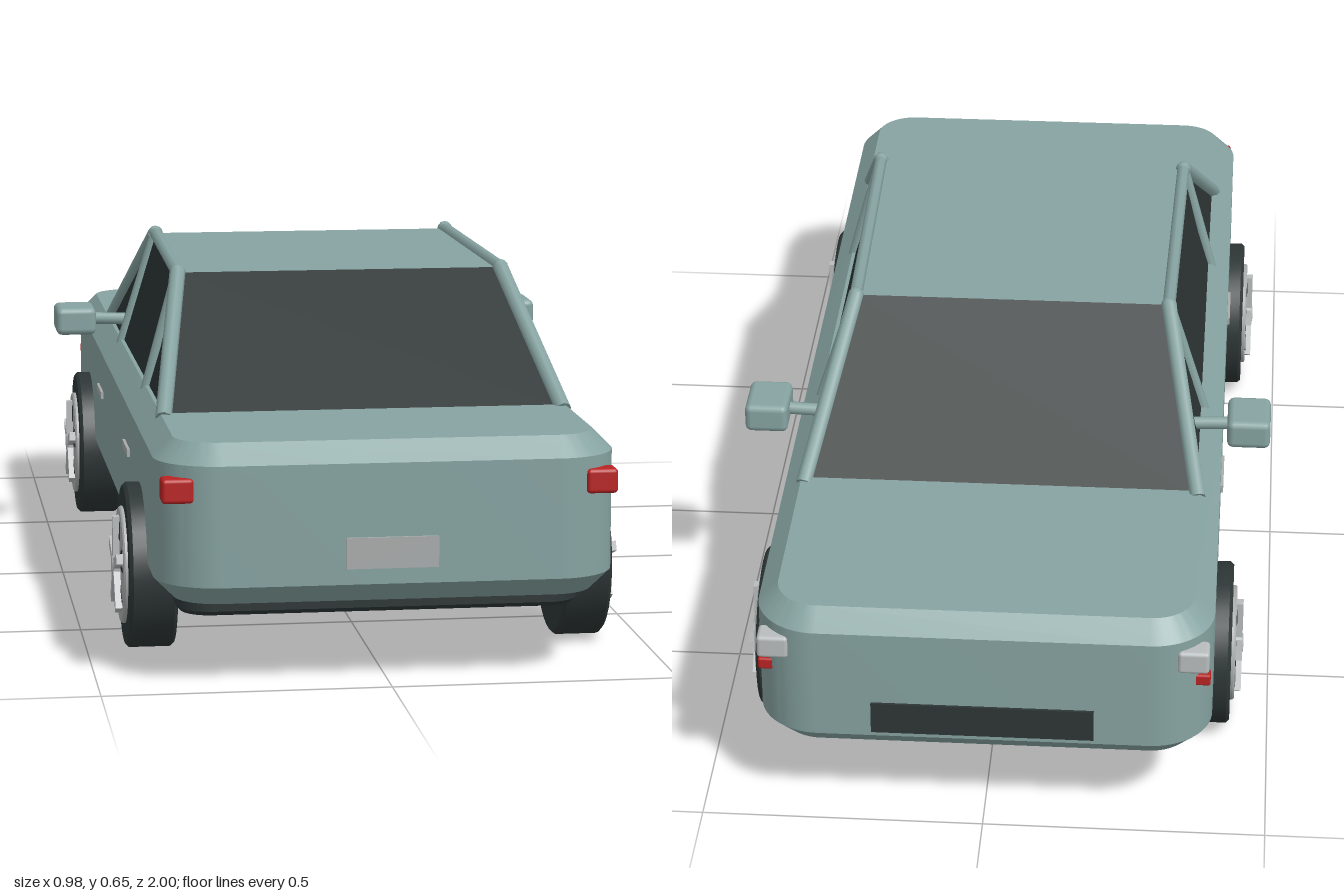
import * as THREE from 'three';
import { toCreasedNormals } from 'three/addons/utils/BufferGeometryUtils.js';
import { RoundedBoxGeometry } from 'three/addons/geometries/RoundedBoxGeometry.js';

const mat = (name, color, side = THREE.FrontSide) => {
  const m = new THREE.MeshStandardMaterial({ color, side });
  m.name = name;
  return m;
};

export function createModel() {
  const paint = mat('sage paint', 0x86a3a1, THREE.DoubleSide);
  const glass = mat('dark glass', 0x2b3332, THREE.DoubleSide);
  const rubber = mat('dark rubber', 0x2d3635);
  const silver = mat('silver', 0xaaadad);
  const lamp = mat('pale lamp', 0xb9bdbd);
  const red = mat('red lamp', 0xb92323);

  const car = new THREE.Group();
  car.name = 'car';

  const add = (name, geometry, material, x = 0, y = 0, z = 0, parent = car) => {
    const mesh = new THREE.Mesh(geometry, material);
    mesh.name = name;
    mesh.position.set(x, y, z);
    parent.add(mesh);
    return mesh;
  };

  // Rounded slab with a one-step bevel on its top and bottom edges
  const slab = (hx, hz, y0, y1, r, bevel) => {
    const w = hx - bevel, d = hz - bevel, c = r - bevel;
    const s = new THREE.Shape();
    s.absarc(w - c, d - c, c, 0, Math.PI / 2);
    s.absarc(c - w, d - c, c, Math.PI / 2, Math.PI);
    s.absarc(c - w, c - d, c, Math.PI, Math.PI * 1.5);
    s.absarc(w - c, c - d, c, Math.PI * 1.5, Math.PI * 2);
    const g = new THREE.ExtrudeGeometry(s, {
      depth: y1 - y0 - 2 * bevel, bevelThickness: bevel, bevelSize: bevel,
      bevelSegments: 1, curveSegments: 8,
    });
    g.rotateX(-Math.PI / 2).translate(0, y0 + bevel, 0);
    return toCreasedNormals(g, 0.5);
  };

  // Flat polygon from corner points
  const panel = (...pts) => {
    const g = new THREE.BufferGeometry().setFromPoints(pts);
    const index = [];
    for (let i = 1; i < pts.length - 1; i++) index.push(0, i, i + 1);
    g.setIndex(index);
    g.computeVertexNormals();
    return g;
  };

  // Straight rod between two points
  const rod = (name, a, b, radius) => {
    const dir = b.clone().sub(a);
    const m = add(name, new THREE.CylinderGeometry(radius, radius, dir.length(), 8), paint);
    m.position.copy(a).add(b).multiplyScalar(0.5);
    m.quaternion.setFromUnitVectors(new THREE.Vector3(0, 1, 0), dir.normalize());
  };

  // Body and underside
  add('body', slab(0.4, 0.995, 0.145, 0.425, 0.11, 0.035), paint);
  add('underside', slab(0.355, 0.878, 0.105, 0.16, 0.06, 0.008), rubber);

  // Cabin corner points for one side
  const corners = (s) => ({
    rearBase: new THREE.Vector3(s * 0.36, 0.418, 0.665),
    rearTop: new THREE.Vector3(s * 0.303, 0.634, 0.34),
    frontTop: new THREE.Vector3(s * 0.293, 0.638, -0.23),
    frontBase: new THREE.Vector3(s * 0.36, 0.418, -0.55),
  });
  const L = corners(1), R = corners(-1);
  add('rearWindow', panel(L.rearBase, L.rearTop, R.rearTop, R.rearBase), glass);
  add('windshield', panel(R.frontBase, R.frontTop, L.frontTop, L.frontBase), glass);
  add('roof', panel(L.rearTop, L.frontTop, R.frontTop, R.rearTop), paint);

  // Wheel with its outer face towards +x
  const disc = (r, w, bevel, n) => {
    const g = new THREE.LatheGeometry([[0, -w / 2], [r - bevel, -w / 2], [r, -w / 2 + bevel],
      [r, w / 2 - bevel], [r - bevel, w / 2], [0, w / 2]].map((p) => new THREE.Vector2(...p)), n);
    return toCreasedNormals(g.rotateZ(-Math.PI / 2), 0.4);
  };
  const tyreGeo = disc(0.148, 0.085, 0.006, 32);
  const rimGeo = disc(0.105, 0.02, 0.003, 32);
  const hubGeo = disc(0.02, 0.024, 0.004, 16);
  const spokeGeo = new THREE.BoxGeometry(0.014, 0.078, 0.018).translate(0, 0.05, 0);
  const slotGeo = new THREE.BoxGeometry(0.004, 0.034, 0.007).translate(0, 0.066, 0);
  const makeWheel = (name, s, z) => {
    const wheel = new THREE.Group();
    wheel.name = name;
    add('tyre', tyreGeo, rubber, 0, 0, 0, wheel);
    add('rim', rimGeo, silver, 0.04, 0, 0, wheel);
    add('hub', hubGeo, lamp, 0.052, 0, 0, wheel);
    for (let i = 0; i < 5; i++) {
      const a = (i * Math.PI * 2) / 5;
      add('spoke', spokeGeo, lamp, 0.055, 0, 0, wheel).rotation.x = a;
      for (const o of [-0.24, 0.24]) add('rimSlot', slotGeo, rubber, 0.0495, 0, 0, wheel).rotation.x = a + o;
    }
    wheel.position.set(s * 0.388, 0.148, z);
    if (s < 0) wheel.rotation.y = Math.PI;
    car.add(wheel);
  };

  for (const s of [1, -1]) {
    const side = s > 0 ? 'left' : 'right';
    const c = s > 0 ? L : R;
    // Side glass, pillars and roof rail
    add(side + 'SideGlass', panel(c.rearBase, c.frontBase, c.frontTop, c.rearTop), glass);
    rod(side + 'RearPillar', c.rearBase, c.rearTop, 0.015);
    rod(side + 'RoofRail', c.rearTop, c.frontTop, 0.012);
    rod(side + 'FrontPillar', c.frontTop, c.frontBase, 0.015);
    for (const top of [c.rearTop, c.frontTop]) {
      rod(side + 'DoorPillar', new THREE.Vector3(s * 0.363, 0.415, top.z), top, 0.011);
      const cap = add(side + 'RailJoint', new THREE.SphereGeometry(0.015, 8, 6), paint);
      cap.position.copy(top);
    }

    // Mirror
    rod(side + 'MirrorArm', new THREE.Vector3(s * 0.34, 0.45, -0.34), new THREE.Vector3(s * 0.42, 0.453, -0.34), 0.012);
    add(side + 'Mirror', new RoundedBoxGeometry(0.08, 0.055, 0.105, 2, 0.012), paint, s * 0.449, 0.453, -0.338);

    // Lamps and door handles
    add(side + 'TailLamp', new RoundedBoxGeometry(0.055, 0.043, 0.045, 2, 0.007), red, s * 0.366, 0.347, 0.966);
    add(side + 'HeadLamp', new RoundedBoxGeometry(0.055, 0.043, 0.045, 2, 0.007), lamp, s * 0.366, 0.351, -0.966);
    add(side + 'MarkerLamp', new RoundedBoxGeometry(0.03, 0.022, 0.024, 2, 0.004), red, s * 0.381, 0.298, -0.948);
    for (const z of [0.357, -0.29]) {
      add(side + 'DoorHandle', new THREE.BoxGeometry(0.008, 0.014, 0.112), silver, s * 0.401, 0.31, z);
    }

    makeWheel(side + 'RearWheel', s, 0.63);
    makeWheel(side + 'FrontWheel', s, -0.615);
  }

  // Rear plate and front grille
  add('rearPlate', new THREE.BoxGeometry(0.16, 0.054, 0.009), silver, 0, 0.235, 0.9955);
  add('grille', new THREE.BoxGeometry(0.39, 0.06, 0.009), rubber, 0, 0.22, -0.9955);

  return car;
}
